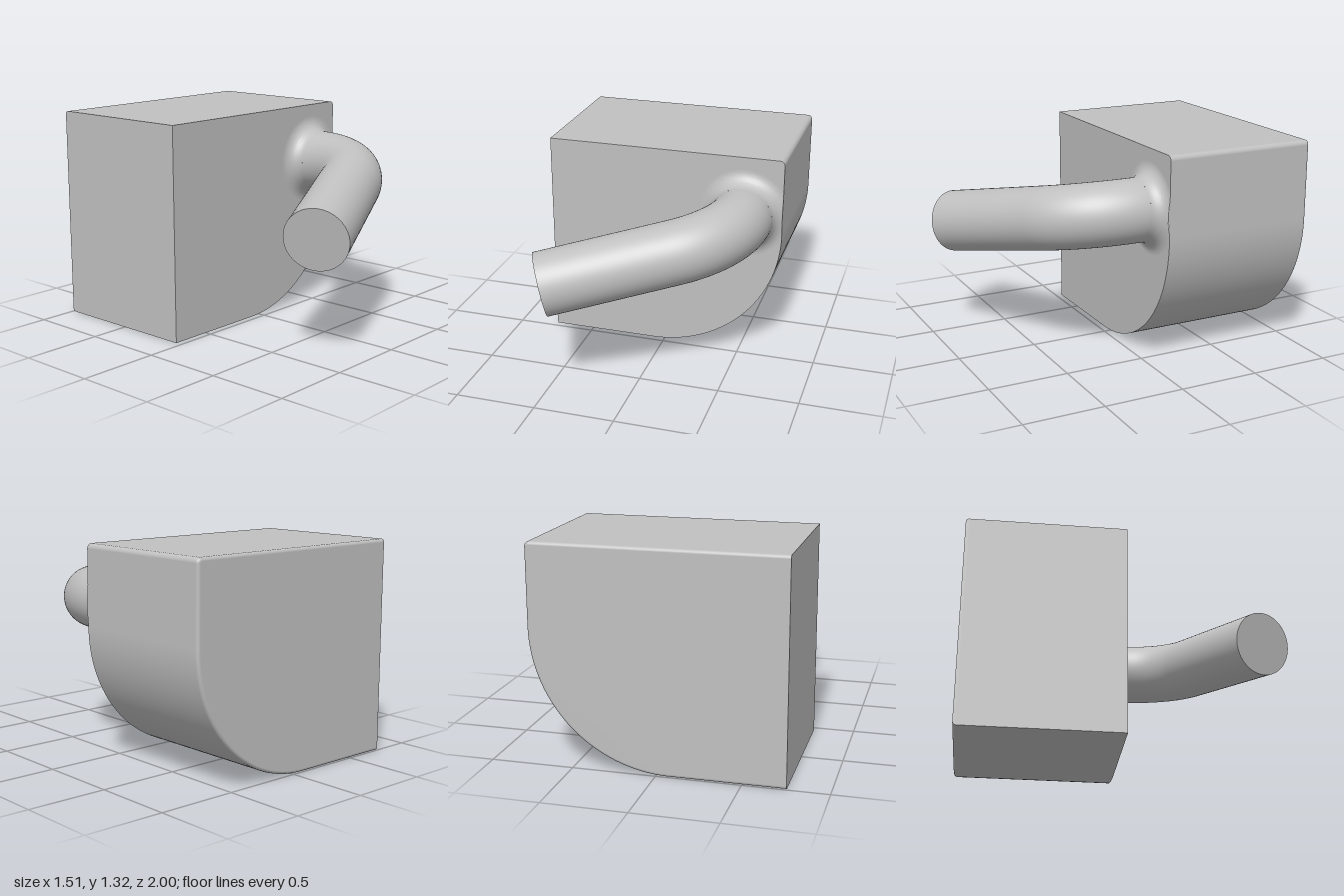
import * as THREE from 'three';
import { toCreasedNormals } from 'three/addons/utils/BufferGeometryUtils.js';

const LEFT = -0.755, RIGHT = 0.752, TOP = 1.32, FRONT = -0.04, BACK = -1;
const BIG = 0.83, SMALL = 0.03, EDGE = 0.02;      // corner and back edge radii
const PIPE = 0.193, FLARE = 0.09, BEND = 0.494;   // pipe, flare and bend radii
const ROOT = new THREE.Vector3(0.512, 0.957, 0.05);

// Block outline seen from the front: position and outward normal of each point
function blockOutline() {
  const pts = [{ x: LEFT, y: TOP, nx: 0, ny: 1 }];
  const arc = (r, cx, cy, from, to, n) => {
    for (let i = 0; i <= n; i++) {
      const a = from + (to - from) * i / n, nx = Math.cos(a), ny = Math.sin(a);
      pts.push({ x: cx + r * nx, y: cy + r * ny, nx, ny });
    }
  };
  arc(SMALL, RIGHT - SMALL, TOP - SMALL, Math.PI / 2, 0, 8);
  arc(BIG, RIGHT - BIG, BIG, 0, -Math.PI / 2, 48);
  pts.push({ x: LEFT, y: 0, nx: 0, ny: -1 });
  return pts;
}

// Side wall swept from front to back, rolling over at the back edge
function wallGeometry(outline) {
  const rings = [{ z: FRONT, a: 0 }];
  for (let i = 0; i <= 6; i++) {
    const a = (i / 6) * Math.PI / 2;
    rings.push({ z: BACK + EDGE * (1 - Math.sin(a)), a });
  }
  const pos = [], nor = [], idx = [], n = outline.length;
  rings.forEach(({ z, a }, k) => outline.forEach((p, i) => {
    const inset = EDGE * (1 - Math.cos(a));
    pos.push(p.x - p.nx * inset, p.y - p.ny * inset, z);
    nor.push(p.nx * Math.cos(a), p.ny * Math.cos(a), -Math.sin(a));
    if (k < rings.length - 1 && i < n - 1) {
      const q = k * n + i;
      idx.push(q, q + 1, q + n, q + 1, q + n + 1, q + n);
    }
  }));
  const g = new THREE.BufferGeometry();
  g.setAttribute('position', new THREE.Float32BufferAttribute(pos, 3));
  g.setAttribute('normal', new THREE.Float32BufferAttribute(nor, 3));
  g.setIndex(idx);
  return g;
}

// Flat face from a list of [x, y] points
const face = (pts) => new THREE.ShapeGeometry(new THREE.Shape(pts.map(([x, y]) => new THREE.Vector2(x, y))));

// Pipe centre line: a bend followed by a straight run
class PipePath extends THREE.Curve {
  constructor() {
    super();
    this.angle = THREE.MathUtils.degToRad(66.7);
    this.side = new THREE.Vector3(-1.01, -0.224, 0).normalize();
    this.arc = BEND * this.angle;
    this.run = (1.034 - BEND * (1 - Math.cos(this.angle))) / Math.sin(this.angle);
  }
  getPoint(t, target = new THREE.Vector3()) {
    const s = t * (this.arc + this.run), a = Math.min(s / BEND, this.angle), rest = Math.max(0, s - this.arc);
    const u = BEND * (1 - Math.cos(a)) + rest * Math.sin(a);
    const z = BEND * Math.sin(a) + rest * Math.cos(a);
    target.copy(ROOT).addScaledVector(this.side, u);
    target.z += z;
    return target;
  }
}

// Flared collar where the pipe meets the block, trimmed flush with the block's side
function flareGeometry() {
  const profile = [];
  for (let i = 0; i <= 16; i++) {
    const a = (i / 16) * Math.PI / 2;
    profile.push(new THREE.Vector2(PIPE + FLARE * (1 - Math.sin(a)), ROOT.z - FLARE * Math.cos(a)));
  }
  const g = new THREE.LatheGeometry(profile, 96);
  g.rotateX(Math.PI / 2).translate(ROOT.x, ROOT.y, 0);
  const p = g.attributes.position;
  for (let i = 0; i < p.count; i++) p.setX(i, Math.min(p.getX(i), RIGHT));
  return toCreasedNormals(g, 0.6);
}

export function createModel() {
  const model = new THREE.Group();
  const grey = new THREE.MeshStandardMaterial({ color: 0xc0c0c0 });
  grey.name = 'grey';
  const add = (name, geometry, parent) => {
    const mesh = new THREE.Mesh(geometry, grey);
    mesh.name = name;
    parent.add(mesh);
    return mesh;
  };

  // Block with one large rounded corner
  const block = new THREE.Group();
  block.name = 'block';
  model.add(block);
  const outline = blockOutline();
  add('blockWall', wallGeometry(outline), block);
  add('blockFront', face(outline.map((p) => [p.x, p.y])).translate(0, 0, FRONT), block);
  add('blockBack', face(outline.map((p) => [-(p.x - p.nx * EDGE), p.y - p.ny * EDGE]))
    .rotateY(Math.PI).translate(0, 0, BACK), block);
  const sidePts = [[FRONT, 0], [FRONT, TOP]];
  for (let i = 0; i <= 6; i++) {
    const a = (i / 6) * Math.PI / 2;
    sidePts.push([BACK + EDGE * (1 - Math.sin(a)), TOP - EDGE * (1 - Math.cos(a))]);
  }
  for (let i = 6; i >= 0; i--) {
    const a = (i / 6) * Math.PI / 2;
    sidePts.push([BACK + EDGE * (1 - Math.sin(a)), EDGE * (1 - Math.cos(a))]);
  }
  add('blockSide', face(sidePts).rotateY(-Math.PI / 2).translate(LEFT, 0, 0), block);

  // Bent pipe with its flared root and flat end
  const pipe = new THREE.Group();
  pipe.name = 'pipe';
  model.add(pipe);
  const path = new PipePath();
  add('pipeTube', new THREE.TubeGeometry(path, 72, PIPE, 64, false), pipe);
  add('pipeFlare', flareGeometry(), pipe);
  const end = add('pipeEnd', new THREE.CircleGeometry(PIPE, 64), pipe);
  end.position.copy(path.getPoint(1));
  end.quaternion.setFromUnitVectors(new THREE.Vector3(0, 0, 1), path.getTangent(1));

  return model;
}
